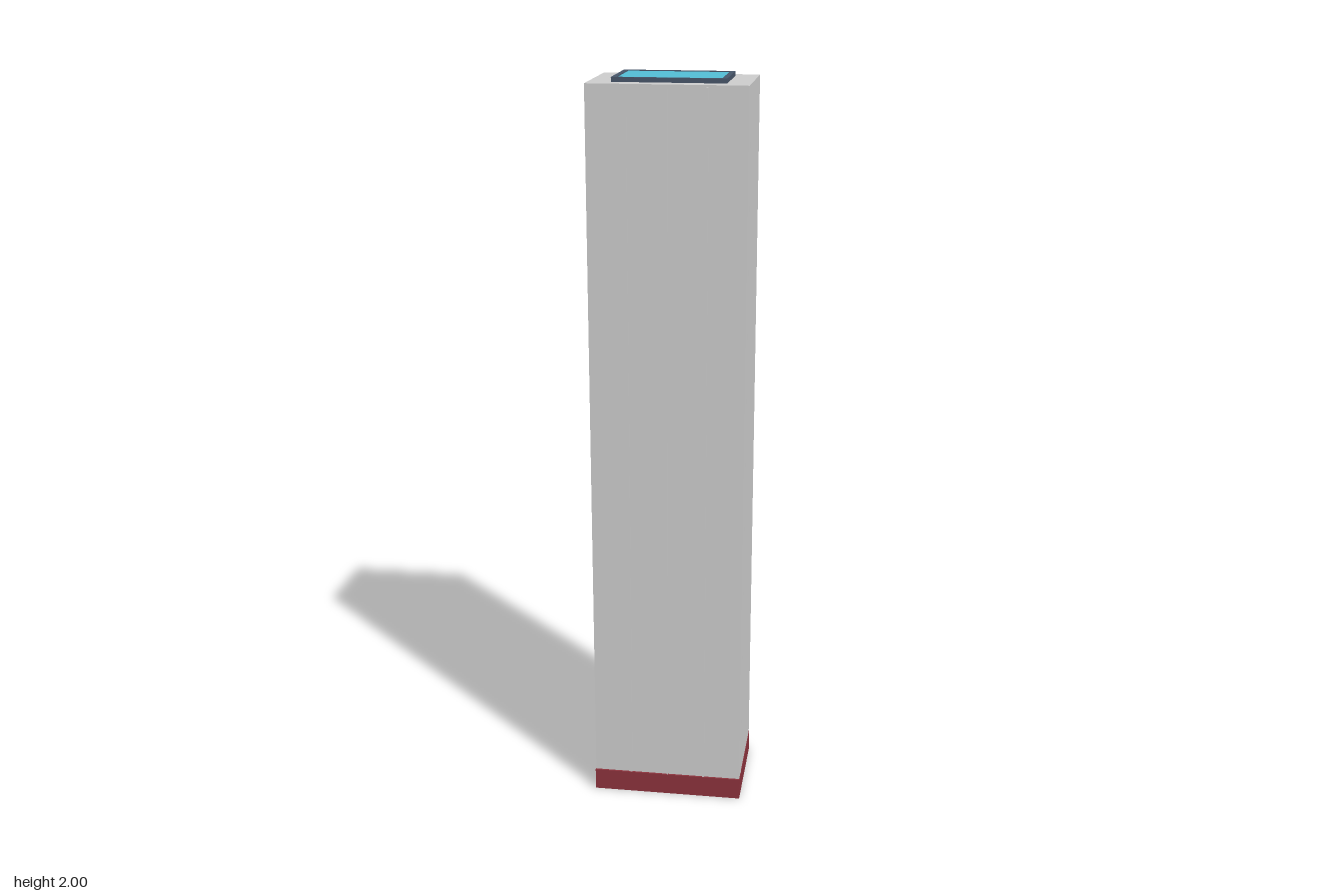
import * as THREE from 'three';

export function createModel() {
  const model = new THREE.Group();
  const grey = new THREE.MeshStandardMaterial({ color: 0xcccccc });
  const red = new THREE.MeshStandardMaterial({ color: 0x8b323c });
  const navy = new THREE.MeshStandardMaterial({ color: 0x475569 });
  const cyan = new THREE.MeshStandardMaterial({ color: 0x52bcd4 });

  // Box given by its size, its bottom height and its centre in plan
  function box(name, material, w, h, d, x, bottom, z) {
    const mesh = new THREE.Mesh(new THREE.BoxGeometry(w, h, d), material);
    mesh.name = name;
    mesh.position.set(x, bottom + h / 2, z);
    model.add(mesh);
  }

  // Plinth and tower shaft
  box('plinth', red, 0.414, 0.06, 0.286, 0, 0, 0);
  box('shaft', grey, 0.412, 1.928, 0.275, 0, 0.06, 0);

  // Slim vertical ribs: three on the front and back, one on each side
  const ribHeight = 1.922;
  for (const s of [-1, 1]) {
    for (const x of [-0.103, 0, 0.103]) {
      box('faceRib', grey, 0.005, ribHeight, 0.006, x, 0.06, s * 0.138);
    }
    box('sideRib', grey, 0.004, ribHeight, 0.005, s * 0.2055, 0.06, 0.1);
  }

  // Roof frame, open in the middle, with the glass panel set into it
  const rect = (path, x, z) =>
    path.moveTo(-x, -z).lineTo(x, -z).lineTo(x, z).lineTo(-x, z).closePath();
  const outline = rect(new THREE.Shape(), 0.146, 0.096);
  outline.holes.push(rect(new THREE.Path(), 0.133, 0.088));
  const frameGeometry = new THREE.ExtrudeGeometry(outline, { depth: 0.012, bevelEnabled: false });
  frameGeometry.rotateX(-Math.PI / 2);
  const frame = new THREE.Mesh(frameGeometry, navy);
  frame.name = 'roofFrame';
  frame.position.y = 1.988;
  model.add(frame);
  box('roofGlass', cyan, 0.266, 0.01, 0.176, 0, 1.988, 0);

  return model;
}
